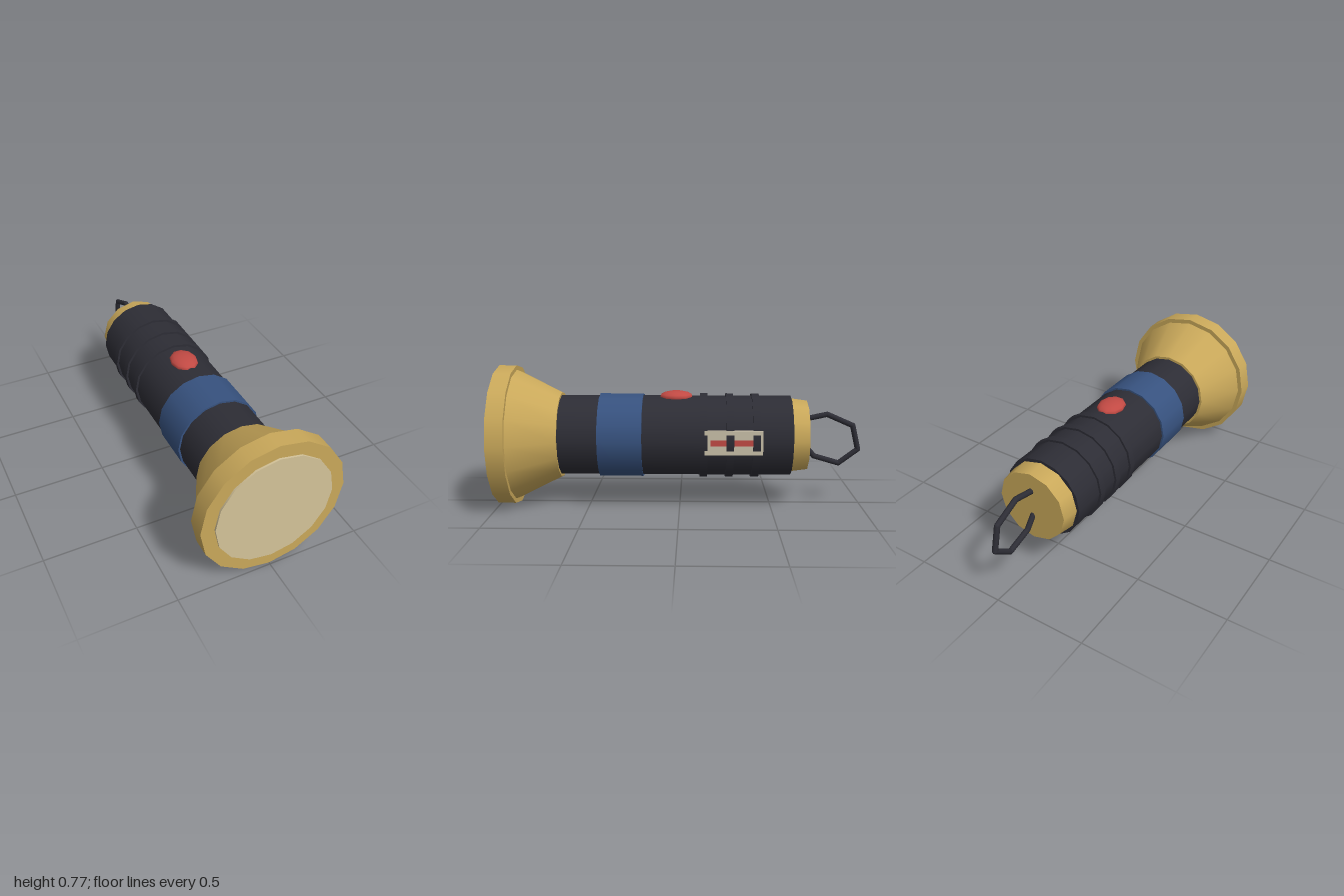
import * as THREE from 'three';

const AXIS = 0.384; // height of the torch axis

function mat(name, color) {
  const m = new THREE.MeshStandardMaterial({ color });
  m.name = name;
  return m;
}

export function createModel() {
  const gold = mat('gold', 0xc9a85a);
  const lensCream = mat('lensCream', 0xd4c399);
  const black = mat('black', 0x2d2d35);
  const blue = mat('blue', 0x37527f);
  const red = mat('red', 0xc24a44);
  const beige = mat('beige', 0xcac1aa);

  const torch = new THREE.Group();
  torch.name = 'torch';

  const add = (name, geometry, material, x = 0, y = 0, z = 0) => {
    const mesh = new THREE.Mesh(geometry, material);
    mesh.name = name;
    mesh.position.set(x, AXIS + y, z);
    torch.add(mesh);
    return mesh;
  };
  // Cylinder or cone lying along z, from the back end to the front end
  const barrel = (name, material, zBack, zFront, rBack, rFront = rBack, sides = 16) => {
    const g = new THREE.CylinderGeometry(rFront, rBack, zFront - zBack, sides);
    g.rotateX(Math.PI / 2);
    return add(name, g, material, 0, 0, (zBack + zFront) / 2);
  };

  // Head
  barrel('headRim', gold, 0.895, 0.99, 0.384);
  barrel('headCone', gold, 0.65, 0.896, 0.235, 0.36);
  barrel('lens', lensCream, 0.97, 1.0, 0.313);

  // Handle
  barrel('body', black, -0.605, 0.66, 0.221);
  barrel('blueBand', blue, 0.2, 0.437, 0.231);
  [-0.13, -0.27, -0.41].forEach((z, i) =>
    barrel('gripRing' + (i + 1), black, z - 0.02, z + 0.02, 0.233));
  barrel('tailCap', gold, -0.695, -0.6, 0.194, 0.207, 12);

  // Push button on top
  const button = add('button', new THREE.SphereGeometry(1, 10, 8), red, 0, 0.215, 0.02);
  button.scale.set(0.073, 0.033, 0.093);

  // Switch plate on the left side; the grip rings cross it
  add('switchPlate', new THREE.BoxGeometry(0.03, 0.13, 0.31), beige, 0.2095, 0, -0.288);
  add('switchStripe', new THREE.BoxGeometry(0.006, 0.032, 0.265), red, 0.2245, 0, -0.298);

  // Wire hanging loop: straight rods with round joints, as [y, z] corners
  const corners = [
    [0.475, -0.685], [0.502, -0.81], [0.44, -0.952], [0.307, -0.984],
    [0.228, -0.88], [0.268, -0.742], [0.33, -0.69],
  ].map(([y, z]) => new THREE.Vector3(0, y, z));
  const loop = new THREE.Group();
  loop.name = 'hangingLoop';
  const up = new THREE.Vector3(0, 1, 0);
  const r = 0.015;
  corners.forEach((p, i) => {
    const joint = new THREE.Mesh(new THREE.SphereGeometry(r, 8, 6), black);
    joint.name = 'loopJoint';
    joint.position.copy(p);
    loop.add(joint);
    if (i === 0) return;
    const dir = p.clone().sub(corners[i - 1]);
    const rod = new THREE.Mesh(new THREE.CylinderGeometry(r, r, dir.length(), 8), black);
    rod.name = 'loopRod';
    rod.position.copy(p).add(corners[i - 1]).multiplyScalar(0.5);
    rod.quaternion.setFromUnitVectors(up, dir.normalize());
    loop.add(rod);
  });
  torch.add(loop);

  return torch;
}
